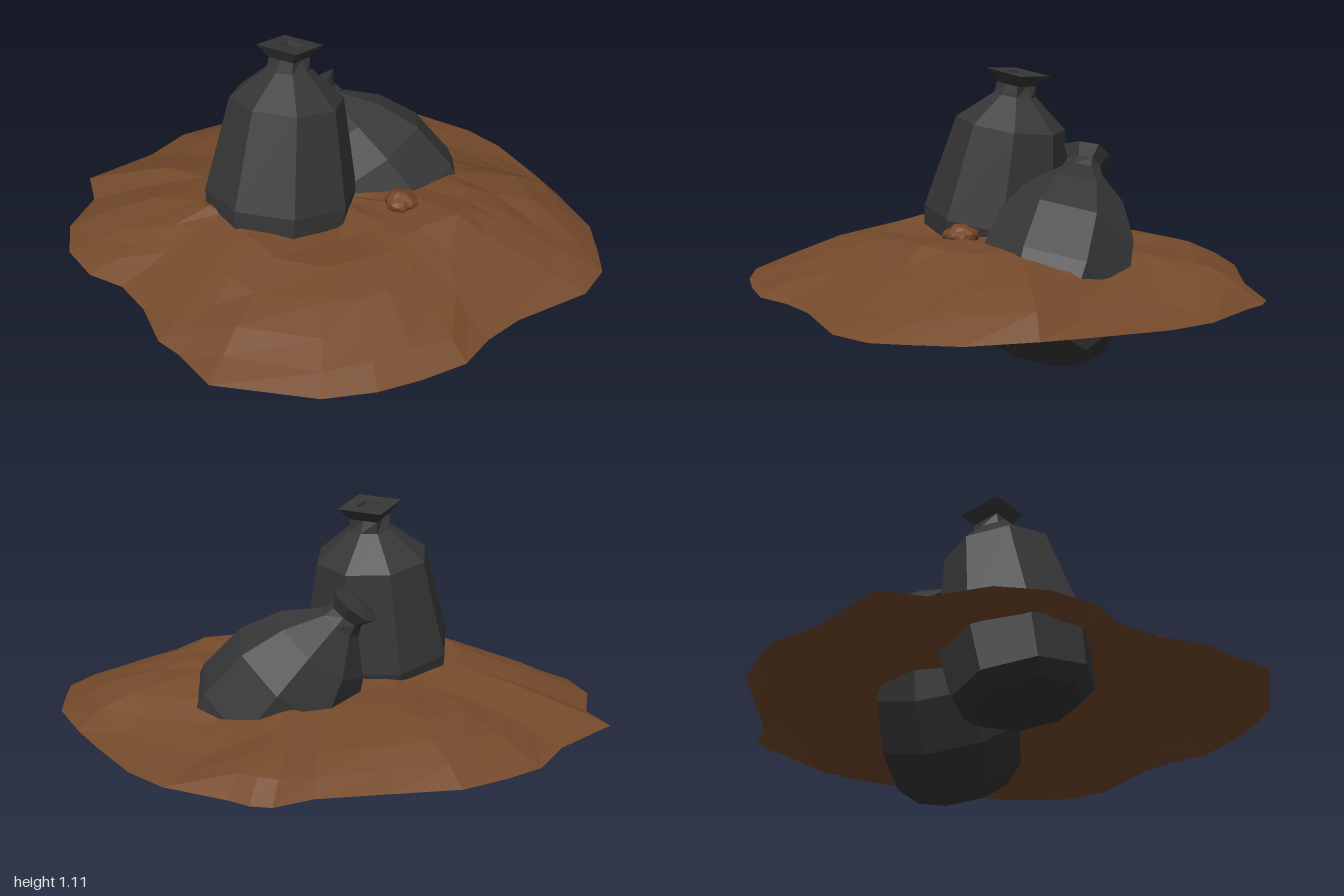
import * as THREE from 'three';

const bagMat = new THREE.MeshStandardMaterial({ color: 0x363636, flatShading: true, side: THREE.DoubleSide });
bagMat.name = 'black plastic';
const dirtMat = new THREE.MeshStandardMaterial({ color: 0x754a2b, flatShading: true, side: THREE.DoubleSide });
dirtMat.name = 'brown dirt';
const clodMat = new THREE.MeshStandardMaterial({ color: 0x744526, flatShading: true });
clodMat.name = 'reddish clod';

// Repeatable noise from -1 to 1
function noise(i, j) {
  const n = Math.sin(i * 127.1 + j * 311.7) * 43758.5453;
  return 2 * (n - Math.floor(n)) - 1;
}

// Skin a list of equal-length point rings
function loft(rings) {
  const n = rings[0].length, pos = [], idx = [];
  rings.forEach(ring => ring.forEach(p => pos.push(...p)));
  for (let r = 0; r < rings.length - 1; r++) {
    for (let i = 0; i < n; i++) {
      const a = r * n + i, b = r * n + (i + 1) % n;
      idx.push(a, a + n, b, b, a + n, b + n);
    }
  }
  const geo = new THREE.BufferGeometry();
  geo.setAttribute('position', new THREE.Float32BufferAttribute(pos, 3));
  geo.setIndex(idx);
  const flat = geo.toNonIndexed();
  flat.computeVertexNormals();
  return flat;
}

// Outline of the mound, seen from above: x, z
const OUTLINE = [
  [-0.77, -0.79], [-0.46, -0.87], [-0.27, -0.98], [-0.1, -0.995], [0.08, -0.99], [0.3, -0.9], [0.55, -0.8],
  [0.7, -0.79], [0.76, -0.74], [0.8, -0.66], [0.94, -0.45], [0.99, -0.27], [1, 0], [1, 0.2], [0.98, 0.45],
  [0.9, 0.62], [0.84, 0.73], [0.7, 0.82], [0.38, 0.85], [0.22, 0.9], [0.08, 0.98], [-0.1, 0.99], [-0.27, 0.98],
  [-0.46, 0.93], [-0.78, 0.7], [-0.82, 0.5], [-0.86, 0.4], [-0.85, 0.2], [-0.88, 0.03], [-0.97, -0.1],
  [-1, -0.28], [-0.95, -0.46], [-0.8, -0.62],
];

// Hills and dips on the mound: x, z, height, spread
const BUMPS = [
  [0.3, 0.4, 0.035, 0.2], [-0.45, 0.05, 0.03, 0.2], [-0.12, 0.32, -0.03, 0.16],
  [0.8, 0.25, 0.05, 0.2], [0.7, -0.25, -0.07, 0.24], [0.65, -0.62, 0.03, 0.15],
  [0.2, -0.42, -0.05, 0.22], [-0.2, -0.45, -0.05, 0.22], [0.1, -0.66, 0.025, 0.2],
];

function makeMound() {
  const profile = [[1, 0.29], [0.9, 0.335], [0.79, 0.38], [0.65, 0.43], [0.5, 0.475], [0.33, 0.48], [0.16, 0.47], [0, 0.46]];
  const rings = profile.map(([s, y], r) => OUTLINE.map(([ox, oz], i) => {
    const inside = r > 0 && s > 0;
    const t = inside ? s + 0.018 * noise(i, r) : s;
    const x = ox * t, z = oz * t;
    let h = y;
    if (r > 0) {
      for (const [bx, bz, amount, w] of BUMPS) h += amount * Math.exp(-((x - bx) ** 2 + (z - bz) ** 2) / (w * w));
    }
    if (inside) h += 0.006 * noise(i + 50, r);
    return [x, h, z];
  }));
  const mound = new THREE.Mesh(loft(rings), dirtMat);
  mound.name = 'dirtMound';
  return mound;
}

// Eight-sided sack: body and mouth are [height, radius] rings,
// edge pulls in every second mouth corner (0.707 makes it square)
function makeBag({ name, base, top, twist, body, mouth, edge }) {
  const ring = (y, r, k) => Array.from({ length: 8 }, (_, i) => {
    const a = i * Math.PI / 4 + twist;
    const d = i % 2 ? r * k : r;
    return [d * Math.cos(a), y, d * Math.sin(a)];
  });
  const group = new THREE.Group();
  group.name = name;
  const bodyRings = body.map(([y, r]) => ring(y, r, 1));
  const mouthRings = mouth.map(([y, r]) => ring(y, r, edge));
  const sack = new THREE.Mesh(loft([...bodyRings, mouthRings[0]]), bagMat);
  sack.name = 'sackBody';
  const opening = new THREE.Mesh(loft(mouthRings), bagMat);
  opening.name = 'sackMouth';
  group.add(sack, opening);

  const axis = new THREE.Vector3(...top).sub(new THREE.Vector3(...base));
  group.position.set(...base);
  group.scale.y = axis.length();
  group.quaternion.setFromUnitVectors(new THREE.Vector3(0, 1, 0), axis.normalize());
  return group;
}

// Small crumpled clod lying in front of the bags
function makeClod() {
  const geo = new THREE.IcosahedronGeometry(0.07, 2);
  const p = geo.attributes.position, v = new THREE.Vector3();
  for (let i = 0; i < p.count; i++) {
    v.fromBufferAttribute(p, i);
    v.multiplyScalar(0.95 + 0.12 * Math.sin(v.x * 75 + 1) * Math.sin(v.z * 65) + 0.06 * Math.sin(v.y * 90));
    p.setXYZ(i, v.x, v.y * 0.75, v.z);
  }
  geo.computeVertexNormals();
  const clod = new THREE.Mesh(geo, clodMat);
  clod.name = 'clod';
  clod.position.set(0.21, 0.5, 0.24);
  return clod;
}

export function createModel() {
  const model = new THREE.Group();
  model.name = 'bagsOnMound';
  model.add(
    makeMound(),
    makeBag({
      name: 'uprightBag', base: [-0.22, 0.24, 0], top: [-0.11, 1.1, -0.095], twist: 0.25, edge: Math.SQRT1_2,
      body: [[0, 0], [0, 0.22], [0.06, 0.28], [0.32, 0.304], [0.76, 0.224], [0.895, 0.085]],
      mouth: [[0.945, 0.08], [1, 0.13], [1, 0.055], [0.985, 0.05], [0.985, 0]],
    }),
    makeBag({
      name: 'leaningBag', base: [0.46, 0.125, 0.025], top: [0.085, 0.79, -0.32], twist: 0, edge: 0.9,
      body: [[0, 0], [0, 0.2], [0.1, 0.275], [0.3, 0.305], [0.55, 0.28], [0.74, 0.2], [0.88, 0.085]],
      mouth: [[0.93, 0.075], [0.99, 0.105], [1.01, 0]],
    }),
    makeClod(),
  );
  return model;
}
